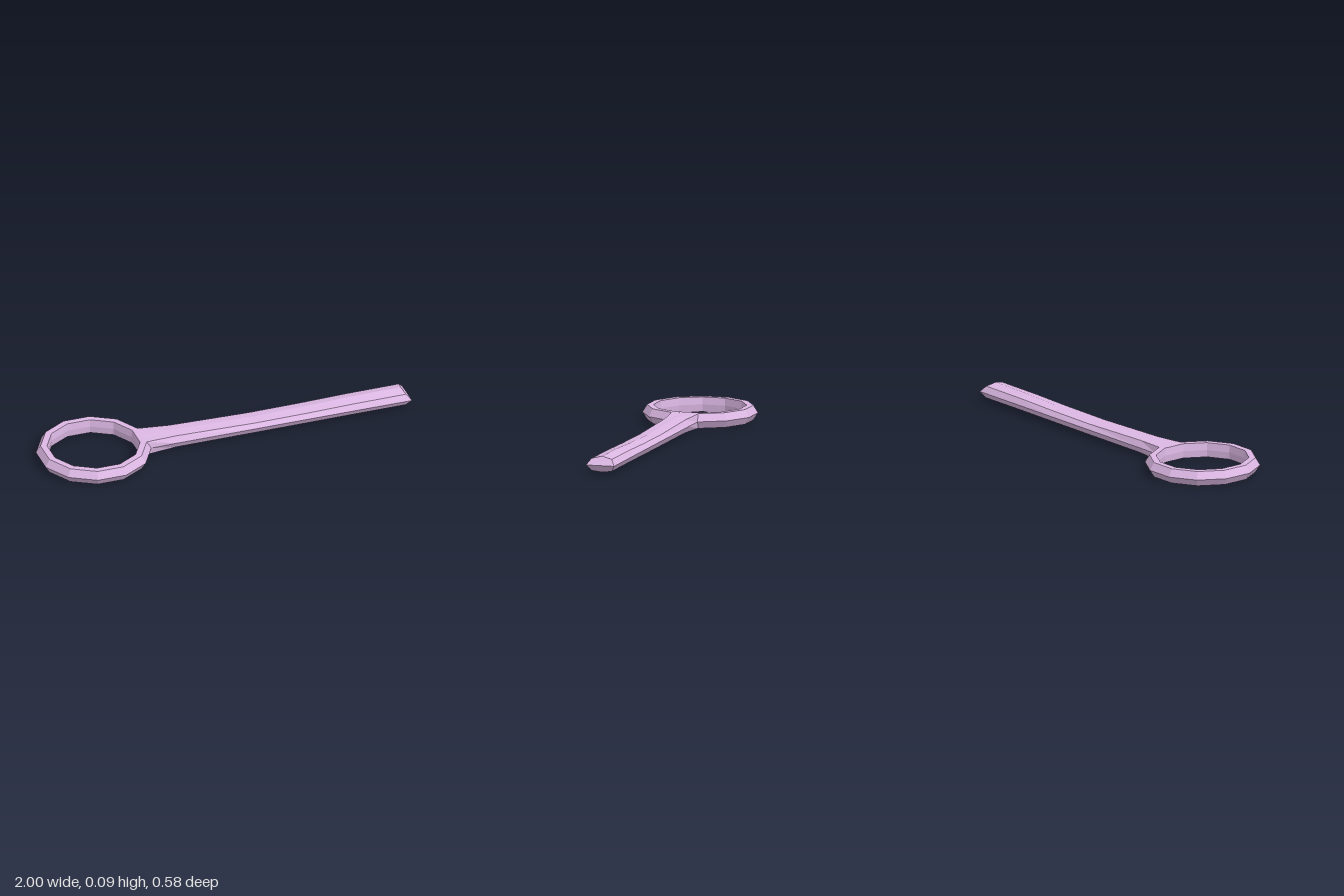
import * as THREE from 'three';

const material = new THREE.MeshStandardMaterial({ color: 0xdcb8e4, flatShading: true, side: THREE.DoubleSide });
const MID = 0.046;

// Twelve-sided ring with a ridged outer face and a straight inner wall
function makeRing() {
  const k = 1 / Math.cos(Math.PI / 12); // apothem to corner radius
  const profile = [[0.265, 0.008], [0.288, MID], [0.265, 0.085], [0.232, 0.085], [0.228, MID], [0.232, 0.008], [0.265, 0.008]]
    .map(([r, y]) => new THREE.Vector2(r * k, y));
  const ring = new THREE.Mesh(new THREE.LatheGeometry(profile, 12, Math.PI / 12), material);
  ring.position.x = -0.712;
  ring.name = 'ringHead';
  return ring;
}

// Eight-sided shaft lofted through stations, chisel-shaped at the far end
function makeShaft() {
  // x, half width, shoulder half width, top, upper shoulder, lower shoulder, bottom, end slope
  const stations = [
    [-0.424, 0.077, 0.072, 0.085, 0.085, 0.008, 0.008, 0.032],
    [-0.28, 0.075, 0.056, 0.083, 0.079, 0.012, 0.001, 0],
    [0.15, 0.075, 0.055, 0.075, 0.069, 0.012, 0.0, 0],
    [0.45, 0.075, 0.055, 0.08, 0.071, 0.013, 0.003, 0],
    [0.7, 0.075, 0.055, 0.088, 0.076, 0.014, 0.004, 0],
    [1, 0.076, 0.055, 0.09, 0.077, 0.014, 0.006, 0.036],
  ];
  const points = [];
  for (const [x, w, s, top, up, low, bottom, slope] of stations) {
    const section = [[w, MID], [s, up], [0, top], [-s, up], [-w, MID], [-s, low], [0, bottom], [s, low]];
    for (const [z, y] of section) points.push(x - slope * Math.min(1, Math.abs(y - MID) / 0.042), y, z);
  }
  const index = [];
  for (let i = 0; i < stations.length - 1; i++) {
    for (let j = 0; j < 8; j++) {
      const a = i * 8 + j, b = i * 8 + (j + 1) % 8;
      index.push(a, a + 8, b, b, a + 8, b + 8);
    }
  }
  // Upper and lower faces of the chisel end
  const e = (stations.length - 1) * 8;
  for (const start of [0, 4]) {
    for (let k = 1; k < 4; k++) index.push(e + start, e + (start + k + 1) % 8, e + start + k);
  }
  const geometry = new THREE.BufferGeometry();
  geometry.setAttribute('position', new THREE.Float32BufferAttribute(points, 3));
  geometry.setIndex(index);
  const flat = geometry.toNonIndexed();
  flat.computeVertexNormals();
  const shaft = new THREE.Mesh(flat, material);
  shaft.name = 'shaft';
  return shaft;
}

export function createModel() {
  const model = new THREE.Group();
  model.name = 'ringPin';
  model.add(makeRing(), makeShaft());
  return model;
}
